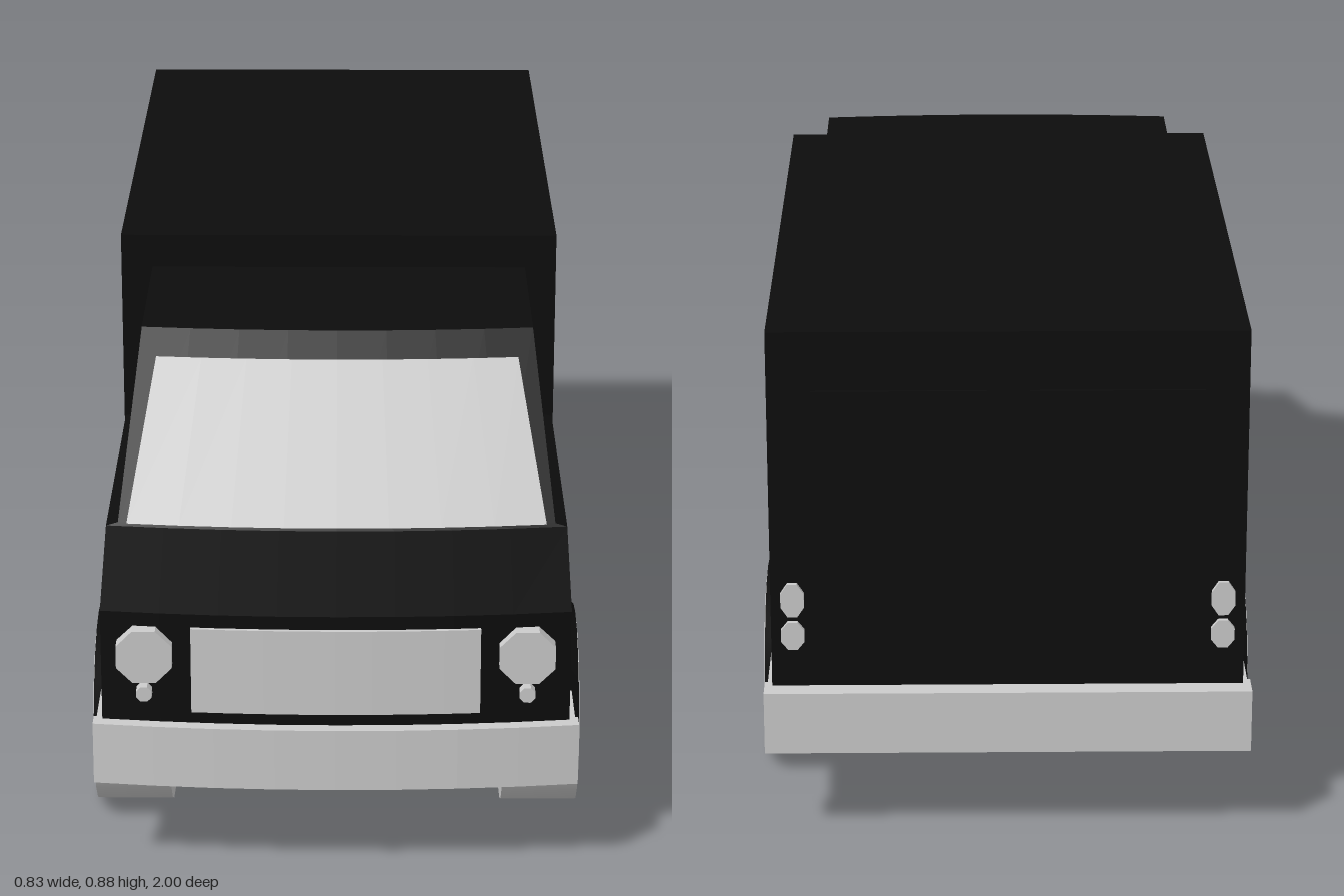
import * as THREE from 'three';
import { toCreasedNormals } from 'three/addons/utils/BufferGeometryUtils.js';

const BOW = 0.165; // how much the nose curves back toward its sides
const WHEEL_R = 0.163;
const AXLES = [0.67, -0.63];

export function createModel() {
  const van = new THREE.Group();
  van.name = 'van';
  const grey = new THREE.MeshStandardMaterial({ color: 0xcccccc, flatShading: true });
  const black = new THREE.MeshStandardMaterial({ color: 0x0d0d0d, flatShading: true });
  const wheelGrey = new THREE.MeshStandardMaterial({ color: 0xcccccc, side: THREE.DoubleSide });
  const archBlack = new THREE.MeshStandardMaterial({ color: 0x0d0d0d, side: THREE.DoubleSide });

  const add = (name, geo, mat, parent = van) => {
    const mesh = new THREE.Mesh(geo, mat);
    mesh.name = name;
    parent.add(mesh);
    return mesh;
  };
  // box given by its limits
  const box = (name, x0, x1, y0, y1, z0, z1, mat) =>
    add(name, new THREE.BoxGeometry(x1 - x0, y1 - y0, z1 - z0), mat)
      .position.set((x0 + x1) / 2, (y0 + y1) / 2, (z0 + z1) / 2);
  // side outline [z, y] extruded across x
  const sideExtrude = (pts, x0, x1) => {
    const shape = new THREE.Shape(pts.map(([z, y]) => new THREE.Vector2(-z, y)));
    return new THREE.ExtrudeGeometry(shape, { depth: x1 - x0, bevelEnabled: false })
      .rotateY(Math.PI / 2).translate(x0, 0, 0);
  };
  // surface through rows of points, rows running from -x to +x and stacked upward
  const skin = (rows) => {
    const pos = [];
    for (let i = 0; i < rows.length - 1; i++) {
      for (let j = 0; j < rows[i].length - 1; j++) {
        const a = rows[i][j], b = rows[i][j + 1], c = rows[i + 1][j + 1], d = rows[i + 1][j];
        pos.push(...a, ...b, ...c, ...a, ...c, ...d);
      }
    }
    const geo = new THREE.BufferGeometry();
    geo.setAttribute('position', new THREE.Float32BufferAttribute(pos, 3));
    geo.computeVertexNormals();
    return geo;
  };
  // bowed row of points of half width w
  const bowedRow = (y, z, w, n = 8) =>
    Array.from({ length: n + 1 }, (_, i) => {
      const x = w * (2 * i / n - 1);
      return [x, y, z - BOW * x * x];
    });

  // cargo box and cab
  box('cargoBody', -0.392, 0.392, 0.265, 0.885, -0.965, 0.22, black);
  const cabRows = [
    [0.265, 0.975, 0.39], [0.46, 0.975, 0.39], [0.54, 0.795, 0.39],
    [0.545, 0.79, 0.37], [0.825, 0.58, 0.336],
  ].map(([y, z, w]) => [[-w, y, 0.22], ...bowedRow(y, z, w), [w, y, 0.22]]);
  cabRows.push(cabRows[4].map(([x]) => [x, 0.825, 0.22]));
  add('cab', skin(cabRows), black);
  box('cabFloor', -0.385, 0.385, 0.265, 0.275, 0.2, 0.94, black);

  // windscreen and grille follow the bowed nose
  add('windscreen', skin([bowedRow(0.546, 0.797, 0.355), bowedRow(0.785, 0.617, 0.31)]), grey);
  add('grille', skin([
    bowedRow(0.287, 0.974, 0.24), bowedRow(0.287, 0.982, 0.24),
    bowedRow(0.437, 0.982, 0.24), bowedRow(0.437, 0.974, 0.24),
  ]), grey);

  // underbody, sills between the wheel openings
  box('underbody', -0.28, 0.28, 0.16, 0.265, -0.965, 0.95, grey);
  const [f, r] = AXLES, lo = 0.18, hi = 0.15;
  const sills = [
    [[-0.965, 0.16], [r - lo, 0.16], [r - hi, 0.265], [-0.965, 0.265]],
    [[r + lo, 0.16], [f - lo, 0.16], [f - hi, 0.265], [r + hi, 0.265]],
    [[f + lo, 0.16], [0.95, 0.16], [0.95, 0.265], [f + hi, 0.265]],
  ];

  // bumpers
  const front = bowedRow(0, 0.998, 0.405).map(([x, , z]) => new THREE.Vector2(x, -z));
  const bumper = new THREE.Shape([...front,
    new THREE.Vector2(0.405, -0.94), new THREE.Vector2(-0.405, -0.94)]);
  add('frontBumper', new THREE.ExtrudeGeometry(bumper, { depth: 0.108, bevelEnabled: false })
    .rotateX(-Math.PI / 2).translate(0, 0.157, 0), grey);
  box('rearBumper', -0.405, 0.405, 0.157, 0.265, -1, -0.95, grey);

  // lamp: short eight-sided disc facing along z
  const lamp = (name, x, y, z, radius, depth, stretch = 1) =>
    add(name, new THREE.CylinderGeometry(radius, radius, depth, 8)
      .rotateY(Math.PI / 8).rotateX(Math.PI / 2).scale(1, stretch, 1), grey)
      .position.set(x, y, z);

  for (const s of [1, -1]) {
    const side = s > 0 ? 'left' : 'right';
    for (const pts of sills) {
      add(side + 'Sill', sideExtrude(pts, s > 0 ? 0.28 : -0.4, s > 0 ? 0.4 : -0.28), grey);
    }
    // side window lies on the leaning cab wall
    const pane = [[0.298, 0.546], [0.298, 0.797], [0.54, 0.797], [0.727, 0.546]]
      .map(([z, y]) => [s * (0.374 - (y - 0.545) * 0.121), y, z]);
    const [a, b, c, d] = pane;
    add(side + 'Window', skin(s > 0 ? [[d, a], [c, b]] : [[a, d], [b, c]]), grey);

    lamp(side + 'Headlight', s * 0.317, 0.39, 0.967, 0.05, 0.03);
    lamp(side + 'Indicator', s * 0.318, 0.322, 0.967, 0.014, 0.025);
    lamp(side + 'TailLight', s * 0.356, 0.42, -0.965, 0.021, 0.016, 1.5);
    lamp(side + 'ReverseLight', s * 0.356, 0.357, -0.965, 0.021, 0.016, 1.25);
    const inner = s * 0.035, outer = s * 0.32;
    box(side + 'RearDoorPanel', Math.min(inner, outer), Math.max(inner, outer),
      0.57, 0.785, -0.969, -0.96, black);
  }

  // wheels: hollow tyre, slotted disc, hub
  const lathe = (pts, seg, start, len) => toCreasedNormals(
    new THREE.LatheGeometry(pts.map(([rad, x]) => new THREE.Vector2(rad, x)), seg, start, len)
      .rotateZ(-Math.PI / 2), 0.6);
  const tyre = lathe([[0.113, 0.285], [WHEEL_R, 0.285], [WHEEL_R, 0.415], [0.12, 0.415],
    [0.11, 0.39], [0.113, 0.285]], 20);
  const disc = new THREE.Shape().absarc(0, 0, 0.112, 0, Math.PI * 2);
  for (let i = 0; i < 12; i++) {
    const t = i * Math.PI / 6, w = 0.16;
    const slot = [[0.08, -w], [0.1, -w], [0.1, w], [0.08, w]].map(([rad, o]) =>
      new THREE.Vector2(rad * Math.cos(t + o), rad * Math.sin(t + o)));
    disc.holes.push(new THREE.Path(slot));
  }
  const discGeo = new THREE.ExtrudeGeometry(disc, { depth: 0.012, bevelEnabled: false, curveSegments: 20 })
    .rotateY(Math.PI / 2).translate(0.383, 0, 0);
  const hubGeo = toCreasedNormals(new THREE.CylinderGeometry(0.07, 0.076, 0.012, 20)
    .rotateZ(-Math.PI / 2).translate(0.4, 0, 0), 0.6);
  // flared arch over each wheel
  const arch = lathe([[0.166, 0.37], [0.166, 0.413], [0.18, 0.413], [0.2, 0.39], [0.2, 0.37]],
    10, Math.PI, Math.PI);

  AXLES.forEach((z, i) => {
    for (const turn of [0, Math.PI]) {
      const wheel = new THREE.Group();
      wheel.name = (turn ? 'right' : 'left') + (i ? 'Rear' : 'Front') + 'Wheel';
      wheel.position.set(0, WHEEL_R, z);
      wheel.rotation.y = turn;
      add('tyre', tyre, wheelGrey, wheel);
      add('slottedDisc', discGeo, wheelGrey, wheel);
      add('hub', hubGeo, wheelGrey, wheel);
      add('wheelArch', arch, archBlack, wheel);
      van.add(wheel);
    }
  });
  return van;
}
